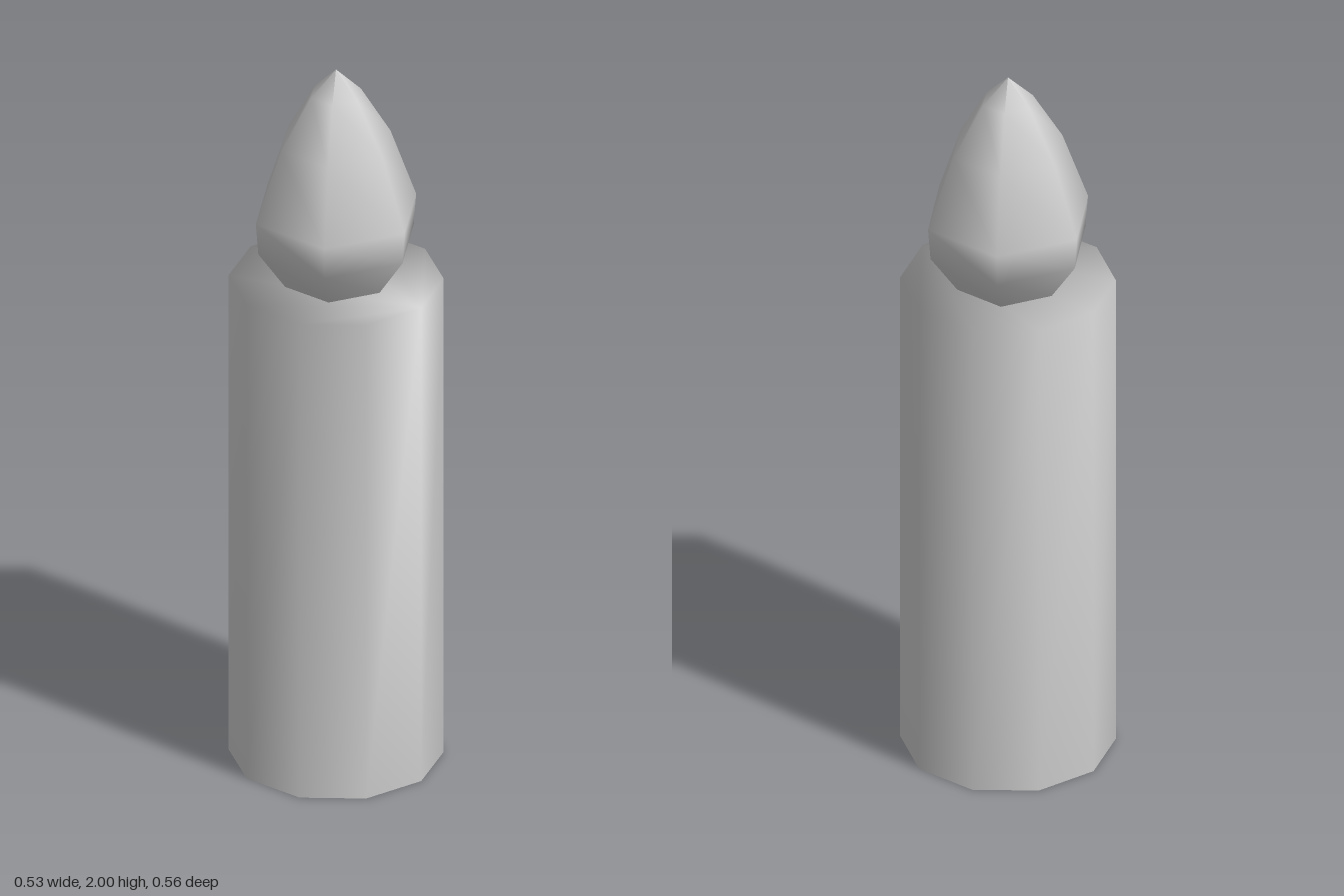
import * as THREE from 'three';
import { mergeVertices } from 'three/addons/utils/BufferGeometryUtils.js';

const SIDES = 10;
const HEIGHT = 1.39;

// Ten-sided wax tube, open below, whose flat top shares its smooth rim normals
function waxGeometry() {
  const tube = new THREE.CylinderGeometry(0.28, 0.28, HEIGHT, SIDES, 1, true);
  const index = Array.from(tube.index.array);
  for (let i = 1; i < SIDES - 1; i++) index.push(0, i, i + 1);
  tube.setIndex(index);
  tube.deleteAttribute('uv');
  tube.deleteAttribute('normal');
  const geometry = mergeVertices(tube, 1e-4);
  geometry.computeVertexNormals();
  return geometry.translate(0, HEIGHT / 2, 0);
}

// Six-sided teardrop, listed as radius and height from the base up
function flameGeometry() {
  const profile = [
    [0.143, HEIGHT], [0.218, 1.5], [0.225, 1.59],
    [0.153, 1.79], [0.07, 1.93], [0, 2],
  ].map(([r, y]) => new THREE.Vector2(r, y));
  return new THREE.LatheGeometry(profile, 6);
}

export function createModel() {
  const material = new THREE.MeshStandardMaterial({ color: 0xcccccc, side: THREE.DoubleSide });
  const group = new THREE.Group();
  group.name = 'candle';

  const wax = new THREE.Mesh(waxGeometry(), material);
  wax.name = 'waxBody';

  const flame = new THREE.Mesh(flameGeometry(), material);
  flame.name = 'flame';

  group.add(wax, flame);
  return group;
}
